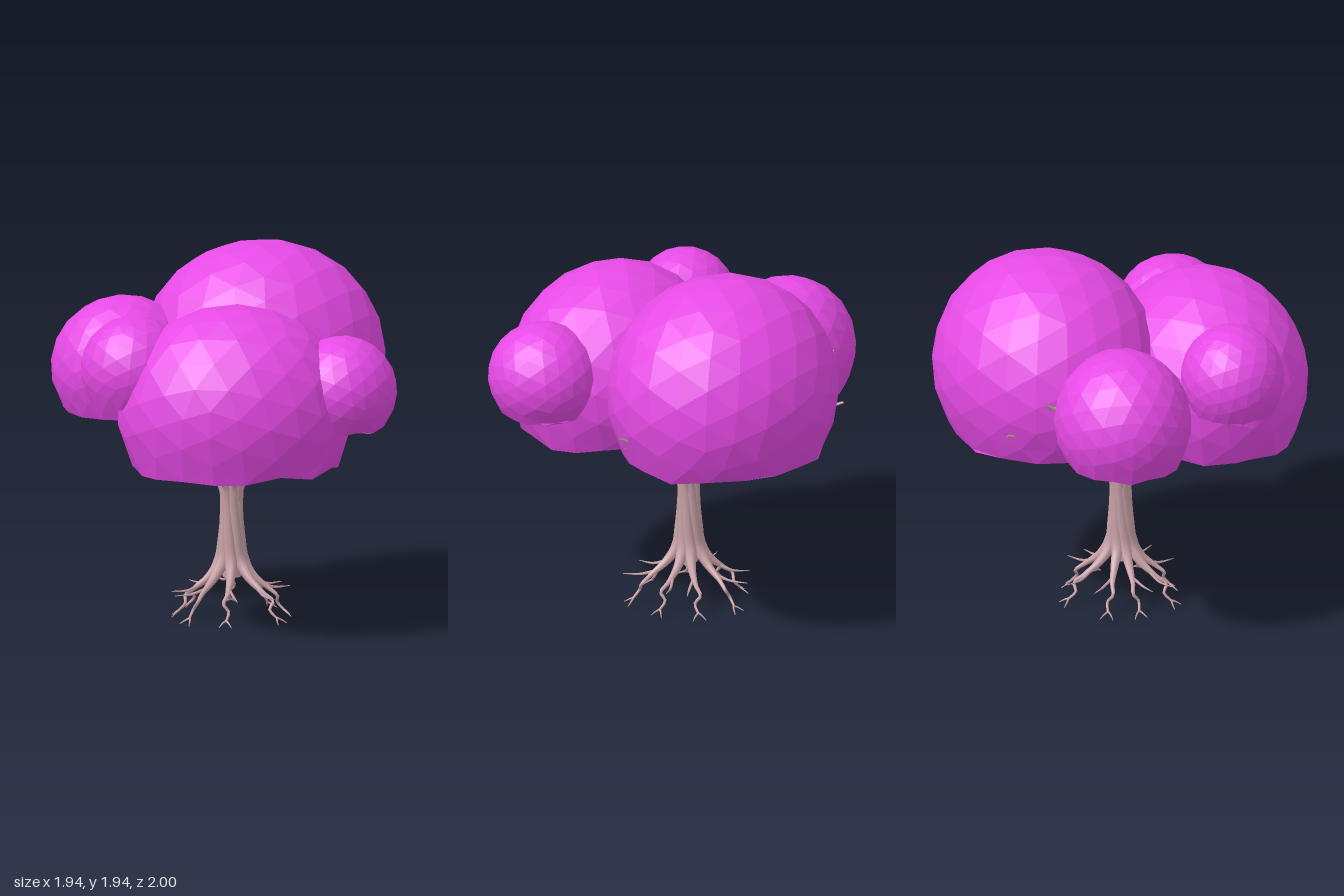
import * as THREE from 'three';
import { mergeGeometries } from 'three/addons/utils/BufferGeometryUtils.js';

const TRUNK_X = -0.02, TRUNK_Z = -0.07;

// Tube through the points whose thickness follows the list of radii
function taperedTube(points, radii, segments = 20, sides = 7) {
  const curve = new THREE.CatmullRomCurve3(points);
  const geo = new THREE.TubeGeometry(curve, segments, 1, sides, false);
  const pos = geo.attributes.position;
  const v = new THREE.Vector3();
  for (let i = 0; i <= segments; i++) {
    const centre = curve.getPointAt(i / segments);
    const t = curve.getUtoTmapping(i / segments) * (radii.length - 1);
    const k = Math.min(Math.floor(t), radii.length - 2);
    const r = THREE.MathUtils.lerp(radii[k], radii[k + 1], t - k);
    for (let j = 0; j <= sides; j++) {
      const n = i * (sides + 1) + j;
      v.fromBufferAttribute(pos, n).sub(centre).multiplyScalar(r).add(centre);
      pos.setXYZ(n, v.x, v.y, v.z);
    }
  }
  return geo;
}

// Point around the trunk axis
const around = (angle, radius, y) =>
  new THREE.Vector3(TRUNK_X + Math.cos(angle) * radius, Math.max(y, 0), TRUNK_Z + Math.sin(angle) * radius);

// Leaf ball with a level rim and a hollow underside; its horizontal radii lie on the diagonals
function leafBall([x, y, z], [rx, ry, rz], bottom, turn) {
  const geo = new THREE.IcosahedronGeometry(1, 3);
  geo.rotateX(0.35);
  geo.rotateY(turn);
  const pos = geo.attributes.position;
  const cut = (bottom - y) / ry;
  const rim = Math.sqrt(1 - cut * cut) + 0.02;
  for (let i = 0; i < pos.count; i++) {
    const px = pos.getX(i), h = pos.getY(i), pz = pos.getZ(i);
    if (h < cut - 0.19) {
      pos.setY(i, cut + (cut - 0.19 - h) * 1.2 + 0.14);
    } else if (h < cut + 0.14) {
      const s = rim / Math.hypot(px, pz);
      pos.setXYZ(i, px * s, cut + 0.03 * Math.sin(9 * px + 5 * pz), pz * s);
    }
  }
  geo.scale(rx, ry, rz);
  geo.rotateY(Math.PI / 4);
  geo.translate(x, y, z);
  geo.computeVertexNormals();
  return geo;
}

export function createModel() {
  const tree = new THREE.Group();
  tree.name = 'tree';

  const leaves = new THREE.MeshStandardMaterial({ color: 0xe64ae5, flatShading: true });
  leaves.name = 'purple leaves';
  const bark = new THREE.MeshStandardMaterial({ color: 0xc8a1a6, side: THREE.DoubleSide });
  bark.name = 'pinkish bark';

  const add = (name, geos, material) => {
    const mesh = new THREE.Mesh(mergeGeometries(geos), material);
    mesh.name = name;
    tree.add(mesh);
  };

  // Canopy: centre, radii, height of the rim, turn
  const balls = [
    ['largeLeafBall', [0.352, 1.345, -0.203], [0.597, 0.61, 0.65], 1.015, -0.5],
    ['lowLeafBall', [-0.355, 1.215, 0.278], [0.535, 0.565, 0.622], 0.925, 0.3],
    ['frontLeafBall', [0.018, 1.335, 0.708], [0.298, 0.288, 0.29], 1.14, -0.1],
    ['leftLeafBall', [-0.69, 1.43, -0.137], [0.273, 0.285, 0.283], 1.26, 1.2],
    ['backLeafBall', [-0.265, 1.31, -0.62], [0.362, 0.38, 0.39], 1.09, 0.8],
  ];
  for (const [name, centre, radii, bottom, turn] of balls) {
    add(name, [leafBall(centre, radii, bottom, turn)], leaves);
  }

  // Trunk strands, each flowing down into a wriggling root with a side shoot and toes
  const strands = [], shoots = [];
  const roots = 8;
  for (let i = 0; i < roots; i++) {
    const a = (i / roots) * Math.PI * 2 + 0.12 * Math.sin(i * 5);
    const w = i % 2 ? 0.12 : -0.12;
    const s = 1 + 0.06 * Math.sin(i * 3.7);
    strands.push(taperedTube([
      around(a + 0.8, 0.045, 0.77), around(a + 0.55, 0.034, 0.6), around(a + 0.25, 0.042, 0.43),
      around(a, 0.06, 0.31), around(a, 0.115 * s, 0.225), around(a + w * 0.5, 0.2 * s, 0.155),
      around(a + w, 0.25 * s, 0.115), around(a, 0.25 * s, 0.075), around(a + w * 0.4, 0.29 * s, 0.03),
    ], [0.022, 0.028, 0.032, 0.034, 0.023, 0.012, 0.009, 0.008, 0.006], 40, 8));
    shoots.push(taperedTube([
      around(a, 0.17 * s, 0.175), around(a - w, 0.24 * s, 0.15), around(a - w * 1.3, 0.33 * s, 0.15),
    ], [0.009, 0.007, 0.002], 8, 5));
    for (const side of [-0.11, 0.11]) {
      shoots.push(taperedTube([
        around(a + w * 0.4, 0.285 * s, 0.035), around(a + w * 0.4 + side * 0.5, 0.3 * s, 0.024),
        around(a + w * 0.4 + side, 0.325 * s, 0.004),
      ], [0.006, 0.005, 0.002], 6, 5));
    }
  }
  // Solid heart of the trunk
  strands.push(taperedTube([around(0, 0, 0.22), around(0, 0, 0.45), around(0, 0, 0.76)], [0.05, 0.04, 0.04], 8, 10));
  add('trunkAndRoots', strands, bark);
  add('rootShoots', shoots, bark);

  // Spreading branches with a fork, and steeper inner branches
  const branches = [];
  const count = 8;
  for (let i = 0; i < count; i++) {
    const a = (i / count) * Math.PI * 2 + 0.2 * Math.sin(i * 4);
    const s = 1 + 0.07 * Math.sin(i * 2.3);
    branches.push(taperedTube([
      around(a - 0.3, 0.035, 0.62), around(a - 0.1, 0.065, 0.73), around(a, 0.19 * s, 0.785),
      around(a, 0.32 * s, 0.865), around(a + 0.06, 0.42 * s, 0.96),
    ], [0.02, 0.021, 0.017, 0.014, 0.011], 18, 7));
    if (i % 2 === 0) branches.push(taperedTube([
      around(a, 0.2 * s, 0.79), around(a - 0.2, 0.29 * s, 0.86), around(a - 0.28, 0.35 * s, 0.94),
    ], [0.013, 0.012, 0.009], 8, 6));
    const b = a + 0.4;
    branches.push(taperedTube([
      around(b, 0.03, 0.66), around(b, 0.055, 0.78), around(b, 0.11 * s, 0.9), around(b + 0.1, 0.18 * s, 1.03),
    ], [0.021, 0.02, 0.017, 0.013], 12, 7));
  }
  add('branches', branches, bark);

  // Twigs held in the canopy: start, tip, forked or not
  const twigs = [
    [[0.52, 1.1, 0.16], [0.67, 1.22, 0.39], false],
    [[0.46, 1.07, 0.12], [0.58, 1.13, 0.345], false],
    [[0.2, 1.1, -0.5], [0.3, 1.21, -0.85], false],
    [[0.03, 1.38, -0.75], [0.083, 1.42, -0.825], false],
    [[0.36, 1.08, -0.2], [0.52, 1.26, -0.3], true],
    [[0.28, 1.1, -0.38], [0.2, 1.28, -0.42], true],
    [[-0.4, 1.02, 0.25], [-0.52, 1.22, 0.35], true],
    [[-0.2, 1.1, -0.5], [-0.3, 1.25, -0.65], true],
  ];
  const twigGeos = [];
  for (const [p, q, forked] of twigs) {
    const start = new THREE.Vector3(...p), tip = new THREE.Vector3(...q);
    const mid = start.clone().lerp(tip, 0.5).add(new THREE.Vector3(0, -0.015, 0));
    twigGeos.push(taperedTube([start, mid, tip], [0.016, 0.013, 0.007], 10, 6));
    if (!forked) continue;
    const fork = mid.clone().lerp(tip, 0.6).add(new THREE.Vector3(-0.05, 0.03, 0.05));
    twigGeos.push(taperedTube([mid, mid.clone().lerp(fork, 0.5), fork], [0.012, 0.01, 0.007], 6, 6));
  }
  add('canopyTwigs', twigGeos, bark);

  return tree;
}
